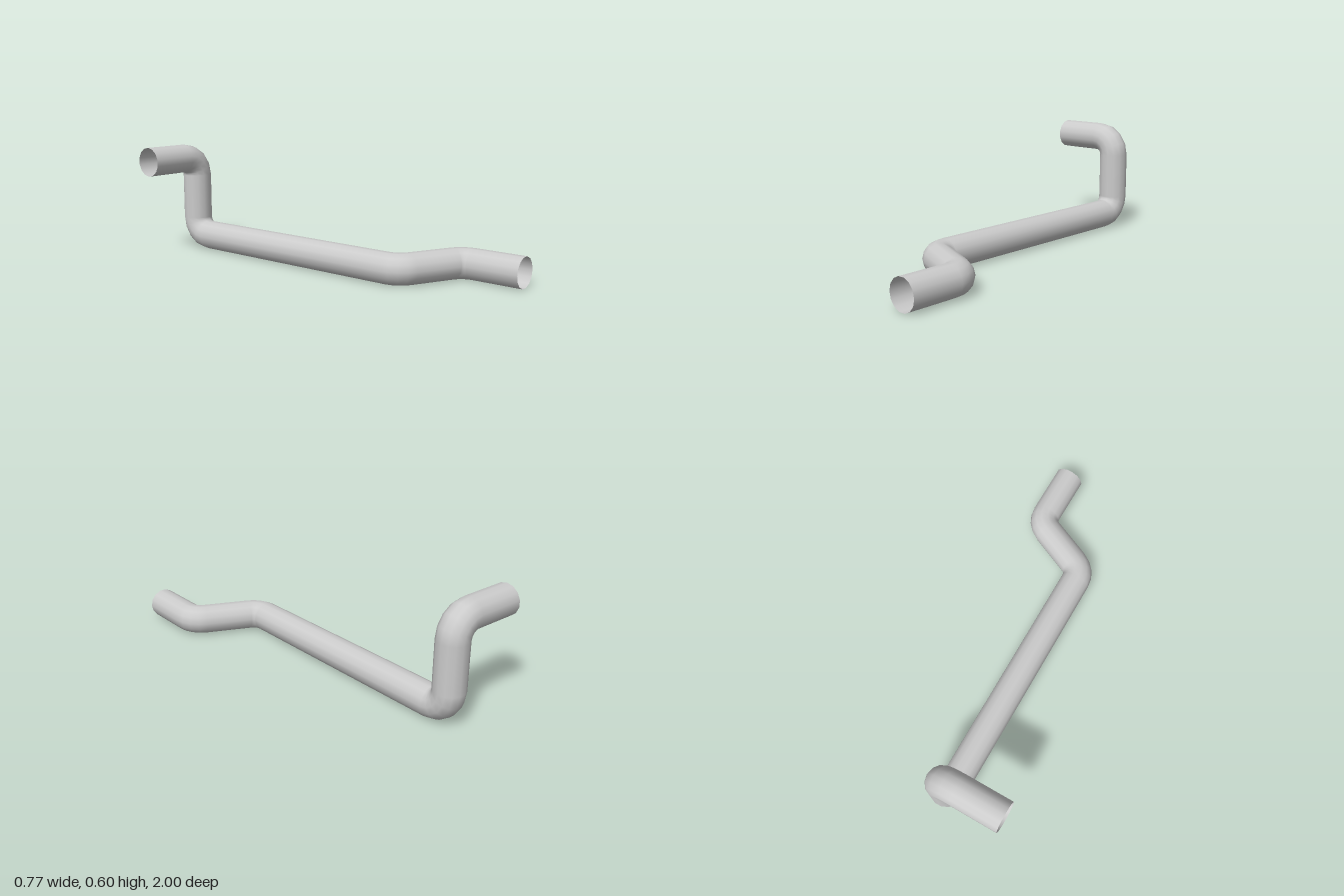
import * as THREE from 'three';

const RADIUS = 0.08, SIDES = 14, BEND = 0.1, BEND_STEPS = 4;
const v = (x, y, z) => new THREE.Vector3(x, y, z);

// Corners of the pipe's centreline, from the upper back end to the front end
const corners = [
  v(-0.388, 0.525, -0.921),
  v(-0.036, 0.525, -0.921),
  v(-0.036, 0.078, -0.921),
  v(-0.036, 0.078, 0.505),
  v(0.307, 0.078, 0.663),
  v(0.307, 0.078, 1),
];

// Centreline stations { p, t }: straight runs joined by circular arcs
function bentPath(pts) {
  const dir = (i) => pts[i + 1].clone().sub(pts[i]).normalize();
  const last = pts.length - 1;
  const stations = [{ p: pts[0], t: dir(0) }];
  for (let i = 1; i < last; i++) {
    const a = dir(i - 1), b = dir(i), angle = a.angleTo(b);
    const axis = a.clone().cross(b).normalize();
    const toCentre = axis.clone().cross(a).multiplyScalar(BEND);
    const start = pts[i].clone().addScaledVector(a, -BEND * Math.tan(angle / 2));
    const centre = start.clone().add(toCentre);
    for (let k = 0; k <= BEND_STEPS; k++) {
      const turn = (angle * k) / BEND_STEPS;
      stations.push({
        p: centre.clone().sub(toCentre.clone().applyAxisAngle(axis, turn)),
        t: a.clone().applyAxisAngle(axis, turn),
      });
    }
  }
  stations.push({ p: pts[last], t: dir(last - 1) });
  return stations;
}

// Open tube with one ring per station, the frame carried along without twist
function sweep(stations) {
  const pos = [], nor = [], index = [];
  const n = v(0, 1, 0), q = new THREE.Quaternion();
  stations.forEach(({ p, t }, i) => {
    if (i) n.applyQuaternion(q.setFromUnitVectors(stations[i - 1].t, t));
    const b = t.clone().cross(n);
    for (let j = 0; j <= SIDES; j++) {
      const a = (j / SIDES) * Math.PI * 2;
      const r = n.clone().multiplyScalar(Math.cos(a)).addScaledVector(b, Math.sin(a));
      nor.push(r.x, r.y, r.z);
      pos.push(p.x + r.x * RADIUS, p.y + r.y * RADIUS, p.z + r.z * RADIUS);
      if (i && j) {
        const c = i * (SIDES + 1) + j, d = c - SIDES - 1;
        index.push(d - 1, d, c - 1, d, c, c - 1);
      }
    }
  });
  const g = new THREE.BufferGeometry();
  g.setAttribute('position', new THREE.Float32BufferAttribute(pos, 3));
  g.setAttribute('normal', new THREE.Float32BufferAttribute(nor, 3));
  g.setIndex(index);
  return g;
}

export function createModel() {
  const group = new THREE.Group();
  group.name = 'bentPipe';
  const material = new THREE.MeshStandardMaterial({ color: 0xcccccc, side: THREE.DoubleSide });
  const pipe = new THREE.Mesh(sweep(bentPath(corners)), material);
  pipe.name = 'pipe';
  group.add(pipe);
  return group;
}
